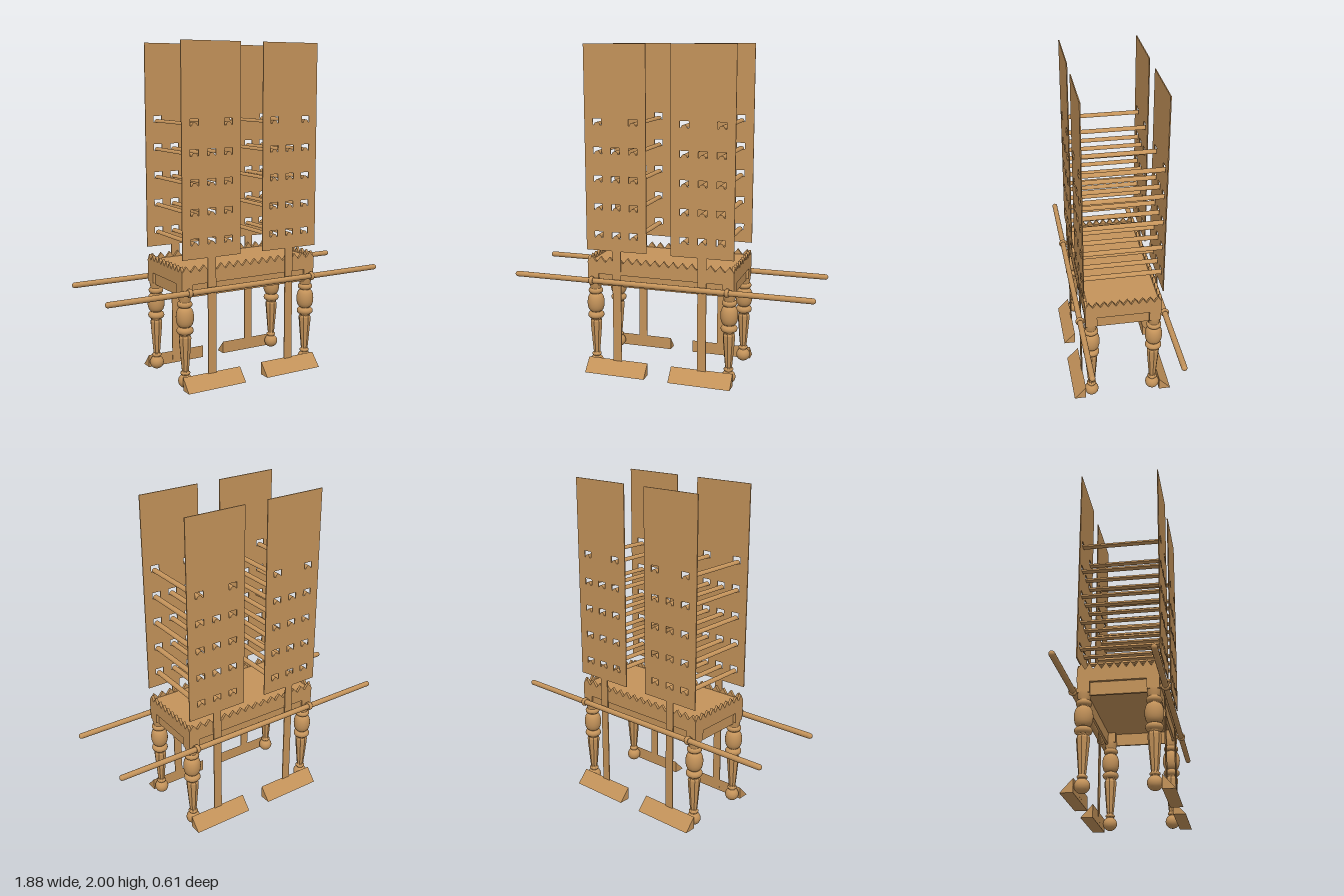
import * as THREE from 'three';

export function createModel() {
  const root = new THREE.Group();
  const wood = new THREE.MeshStandardMaterial({ color: 0xc4935a });
  const faceted = new THREE.MeshStandardMaterial({ color: 0xc4935a, flatShading: true });

  const add = (name, geo, x = 0, y = 0, z = 0, parent = root, mat = wood) => {
    const m = new THREE.Mesh(geo, mat);
    m.name = name;
    m.position.set(x, y, z);
    parent.add(m);
    return m;
  };
  const box = (w, h, d) => new THREE.BoxGeometry(w, h, d);
  const polygon = pts => new THREE.Shape(pts.map(p => new THREE.Vector2(...p)));
  const extrude = (shape, depth) =>
    new THREE.ExtrudeGeometry(shape, { depth, bevelEnabled: false, curveSegments: 10 });

  // Table top and the hollow apron under it
  add('tableTop', box(0.92, 0.075, 0.46), 0, 0.6575, 0);
  for (const s of [-1, 1]) {
    add('longApron', box(0.84, 0.075, 0.015), 0, 0.5825, s * 0.212);
    add('shortApron', box(0.015, 0.075, 0.41), s * 0.435, 0.5825, 0);
  }

  // Row of saw teeth along each edge of the top
  const teeth = (length, count) => {
    const step = length / count, pts = [[-length / 2, 0]];
    for (let i = 0; i < count; i++) {
      pts.push([-length / 2 + (i + 0.5) * step, 0.036], [-length / 2 + (i + 1) * step, 0]);
    }
    const geo = extrude(polygon(pts), 0.016);
    geo.translate(0, 0, -0.008);
    return geo;
  };
  const longTeeth = teeth(0.92, 16), shortTeeth = teeth(0.46, 10);
  for (const s of [-1, 1]) {
    add('longTeeth', longTeeth, 0, 0.693, s * 0.222);
    add('shortTeeth', shortTeeth, s * 0.452, 0.693, 0).rotation.y = Math.PI / 2;
  }

  // Turned legs: ball foot, faceted taper, discs and a large bulb
  const bulge = (y, r, h, base) => {
    const pts = [];
    for (let i = 0; i <= 10; i++) {
      const a = -Math.PI / 2 + (i / 10) * Math.PI;
      pts.push(new THREE.Vector2(base + (r - base) * Math.cos(a), y + h * Math.sin(a)));
    }
    return pts;
  };
  const footGeo = new THREE.LatheGeometry([
    ...bulge(0.042, 0.043, 0.042, 0),
  ], 24);
  const ankleGeo = new THREE.LatheGeometry([
    new THREE.Vector2(0.022, 0.07), ...bulge(0.09, 0.029, 0.008, 0.022), new THREE.Vector2(0.02, 0.105),
  ], 24);
  const shaftGeo = new THREE.LatheGeometry(
    [[0.02, 0.095], [0.024, 0.13], [0.037, 0.28], [0.038, 0.305], [0.03, 0.325]]
      .map(p => new THREE.Vector2(...p)), 8);
  const upperGeo = new THREE.LatheGeometry([
    new THREE.Vector2(0.03, 0.31),
    ...bulge(0.346, 0.05, 0.02, 0.032),
    ...bulge(0.426, 0.053, 0.056, 0.03),
    ...bulge(0.503, 0.045, 0.016, 0.032),
    new THREE.Vector2(0.034, 0.525), new THREE.Vector2(0.039, 0.55), new THREE.Vector2(0.039, 0.565),
  ], 24);
  for (const sx of [-1, 1]) for (const sz of [-1, 1]) {
    const leg = new THREE.Group();
    leg.name = 'leg';
    leg.position.set(sx * 0.425, 0, sz * 0.193);
    root.add(leg);
    add('ballFoot', footGeo, 0, 0, 0, leg);
    add('ankleRing', ankleGeo, 0, 0, 0, leg);
    add('taperedShaft', shaftGeo, 0, 0, 0, leg, faceted);
    add('turnedTop', upperGeo, 0, 0, 0, leg);
    add('legBlock', box(0.07, 0.062, 0.07), 0, 0.589, 0, leg);
  }

  // Carrying poles with rounded ends, held by rings
  const poleGeo = new THREE.CapsuleGeometry(0.017, 1.846, 5, 16);
  const ringGeo = new THREE.TorusGeometry(0.019, 0.0075, 10, 24);
  for (const s of [-1, 1]) {
    add('carryingPole', poleGeo, 0, 0.581, s * 0.257).rotation.z = Math.PI / 2;
    for (const x of [-0.425, 0.425]) {
      const ring = add('poleRing', ringGeo, x, 0.581, s * 0.257);
      ring.rotation.y = Math.PI / 2;
      ring.scale.z = 1.6;
      add('ringMount', box(0.02, 0.018, 0.02), x, 0.581, s * 0.229);
    }
  }

  // Tall pierced panel on a narrow stem, in one thin board
  const CX = 0.268, columns = [-0.111, 0, 0.111];
  const rows = [0.85, 1.02, 1.19, 1.36, 1.53];
  const slots = [];
  rows.forEach((y, r) => columns.forEach((x, c) => {
    if (r < 4 || c !== 1) slots.push([x, y]);
  }));
  const board = polygon([[-0.027, 0.02], [0.027, 0.02], [0.027, 0.77], [0.192, 0.77],
    [0.192, 2], [-0.192, 2], [-0.192, 0.77], [-0.027, 0.77]]);
  for (const [x, y] of slots) {
    board.holes.push(polygon([[x - 0.027, y], [x - 0.027, y + 0.038], [x + 0.027, y + 0.038], [x + 0.027, y]]));
  }
  const boardGeo = extrude(board, 0.006);
  boardGeo.translate(0, 0, -0.003);

  // Wedge foot, extruded along x
  const wedgeGeo = extrude(polygon([[0, 0], [0.072, 0], [0, 0.078]]), 0.384);
  wedgeGeo.translate(0, 0, -0.192);
  wedgeGeo.rotateY(-Math.PI / 2);

  // Half-round rod resting in a pair of slots
  const arch = new THREE.Shape();
  arch.absarc(0, 0, 0.018, 0, Math.PI, false);
  const rodGeo = extrude(arch, 0.484);
  rodGeo.translate(0, 0, -0.242);

  for (const sx of [-1, 1]) {
    for (const sz of [-1, 1]) {
      add('piercedPanel', boardGeo, sx * CX, 0, sz * 0.235);
      add('wedgeFoot', wedgeGeo, sx * CX, 0, sz * 0.233).rotation.y = sz > 0 ? 0 : Math.PI;
    }
    for (const [x, y] of slots) add('halfRoundRod', rodGeo, sx * CX + x, y, 0);
  }
  return root;
}
